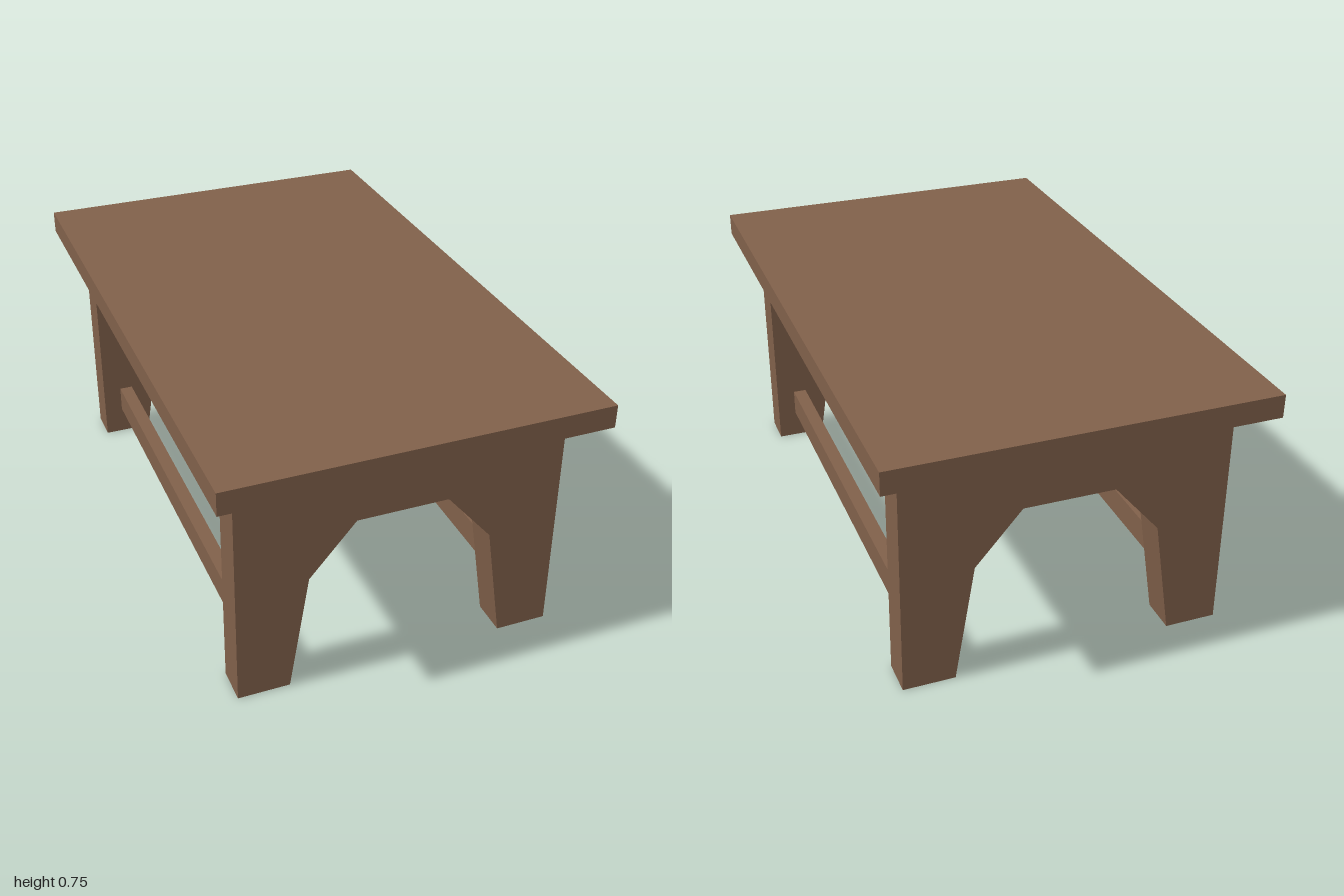
import * as THREE from 'three';

export function createModel() {
  const model = new THREE.Group();
  model.name = 'table';
  const wood = new THREE.MeshStandardMaterial({ color: 0x80604a, flatShading: true });

  const add = (name, geometry, x, y, z) => {
    const mesh = new THREE.Mesh(geometry, wood);
    mesh.name = name;
    mesh.position.set(x, y, z);
    model.add(mesh);
  };
  const box = (name, w, h, d, x, y, z) => add(name, new THREE.BoxGeometry(w, h, d), x, y, z);

  // Table top
  box('tableTop', 1.7, 0.065, 1.054, 0, 0.7125, 0);

  // End panels: a board with a faceted arch cut out, leaving two feet
  const half = 0.456, height = 0.68, thickness = 0.102, inner = 0.641;
  const side = [[half, height], [half, 0], [0.31, 0], [0.257, 0.34], [0.128, 0.49]];
  const mirrored = side.map(([x, y]) => [-x, y]).reverse();
  const outline = new THREE.Shape([...side, ...mirrored].map(([x, y]) => new THREE.Vector2(x, y)));
  const panel = new THREE.ExtrudeGeometry(outline, { depth: thickness, bevelEnabled: false });
  panel.rotateY(Math.PI / 2);
  add('leftEndPanel', panel, inner, 0, 0);
  add('rightEndPanel', panel, -inner - thickness, 0, 0);

  // Low rails joining the feet
  for (const s of [1, -1]) {
    box(s > 0 ? 'frontRail' : 'backRail', 2 * inner, 0.08, 0.04, 0, 0.125, s * 0.38);
  }

  // Thin central slat under the top
  box('centralSlat', 2 * inner, 0.02, 0.09, 0, 0.582, 0);

  // The whole table stands turned about the vertical
  model.rotation.y = -0.614;
  const group = new THREE.Group();
  group.add(model);
  return group;
}
